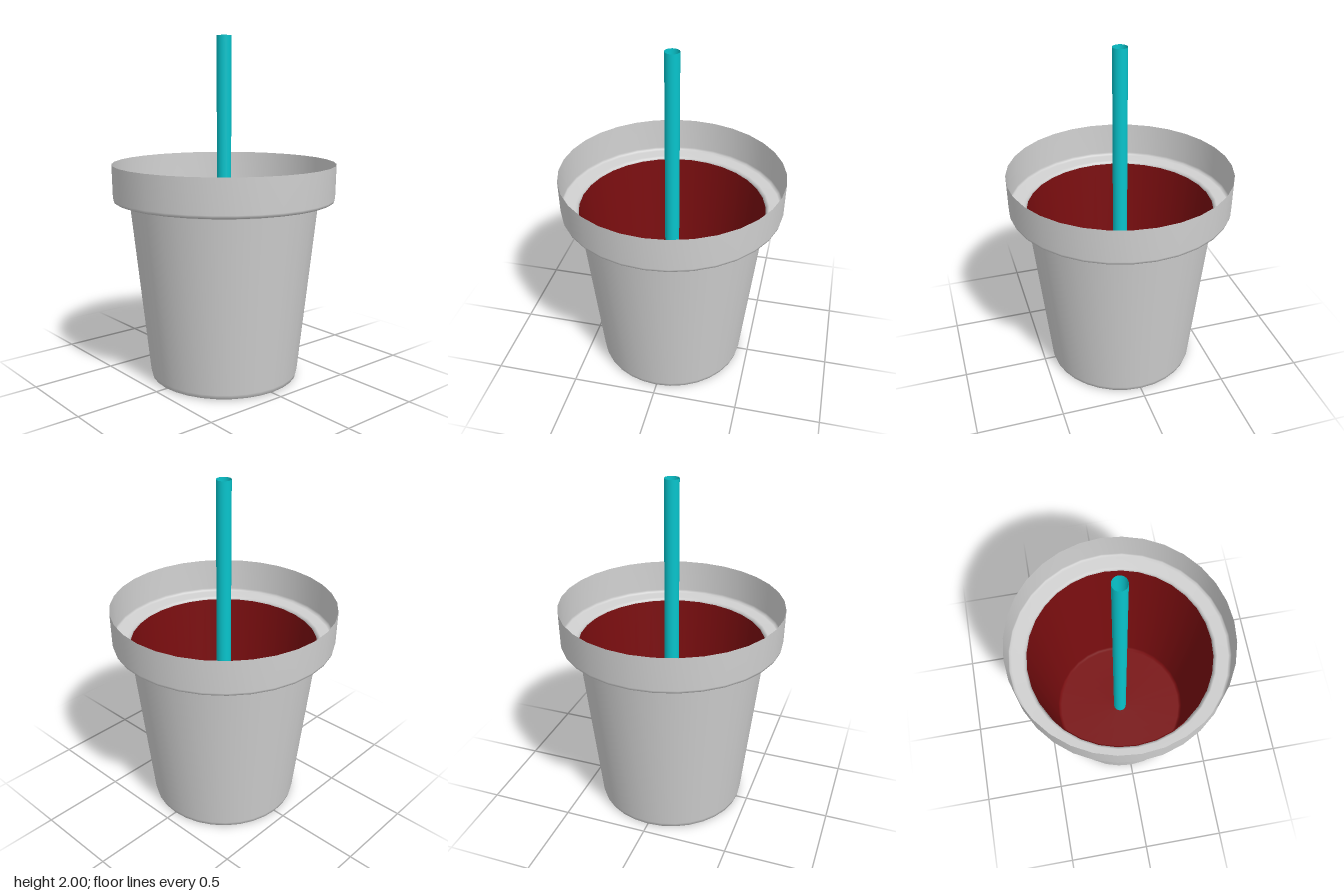
import * as THREE from 'three';

const SIDES = 32;

function material(name, color) {
  const m = new THREE.MeshStandardMaterial({ color, side: THREE.DoubleSide });
  m.name = name;
  return m;
}

// Smooth surface of revolution from [radius, height] pairs
function turned(name, profile, mat) {
  const points = profile.map(([r, y]) => new THREE.Vector2(r, y));
  const mesh = new THREE.Mesh(new THREE.LatheGeometry(points, SIDES), mat);
  mesh.name = name;
  return mesh;
}

export function createModel() {
  const group = new THREE.Group();
  group.name = 'cupWithStraw';

  const grey = material('cupGrey', 0xd0d0d0);
  const red = material('liningRed', 0x780d0f);
  const teal = material('strawTeal', 0x08c4cc);

  // Thin tapered cup with a softened base, a ledge and a wide open collar
  group.add(turned('cup', [
    [0, 0], [0.42, 0], [0.435, 0.006], [0.441, 0.03],
    [0.549, 1.04], [0.553, 1.053], [0.565, 1.06],
    [0.63, 1.06], [0.643, 1.066], [0.646, 1.08], [0.65, 1.275],
  ], grey));

  // Red lining of the floor and wall, up to the ledge
  group.add(turned('lining', [
    [0, 0.01], [0.415, 0.01], [0.429, 0.015], [0.436, 0.035], [0.545, 1.046],
  ], red));

  // Hollow straw standing on the floor
  const straw = new THREE.Mesh(
    new THREE.CylinderGeometry(0.042, 0.042, 1.985, SIDES, 1, true), teal);
  straw.name = 'straw';
  straw.position.y = 2 - 1.985 / 2;
  group.add(straw);

  return group;
}
